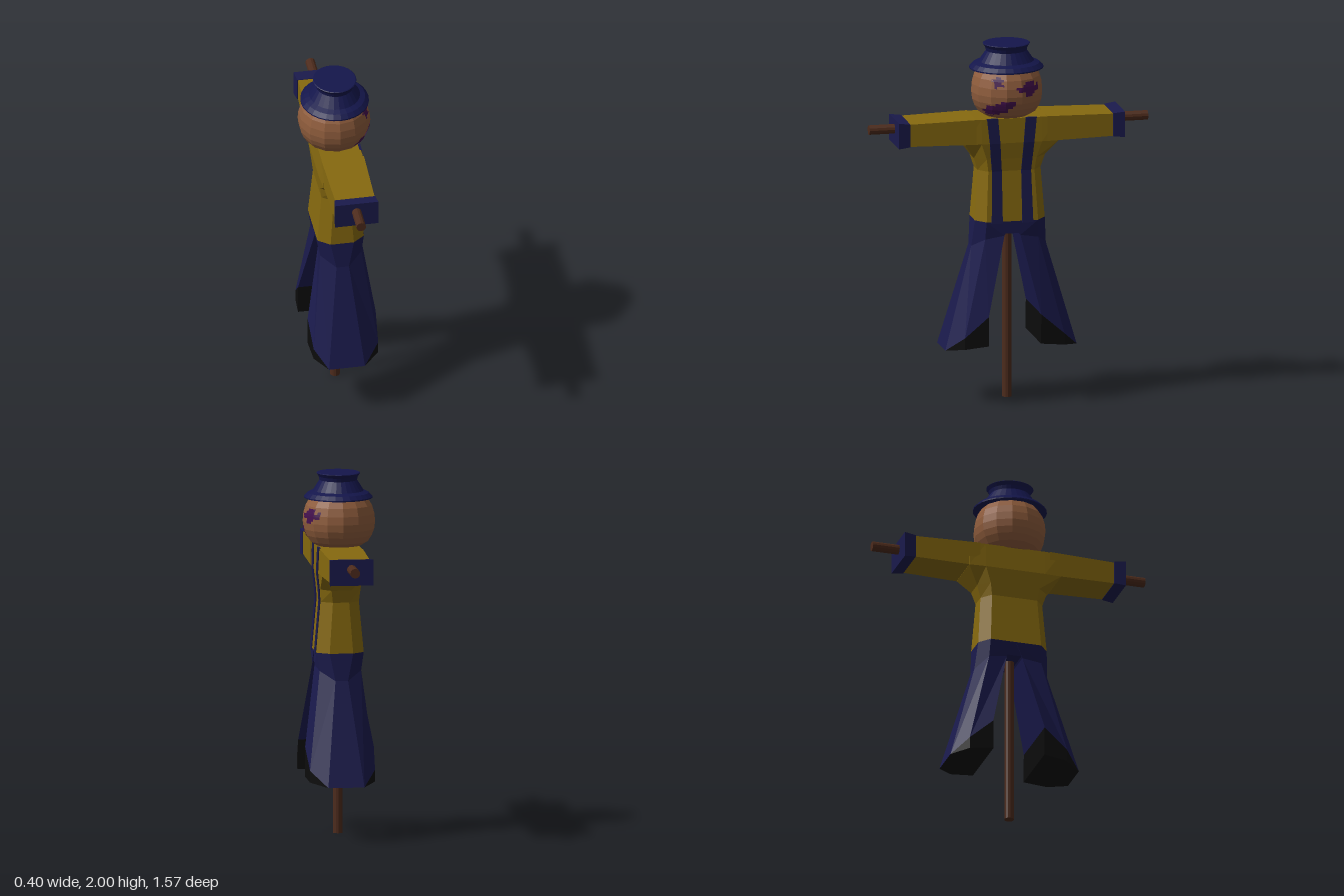
import * as THREE from 'three';

const paint = (color) => new THREE.MeshStandardMaterial({ color, flatShading: true });

// Closed faceted solid through a list of rings (each an equal-length list of [x, y, z])
function loft(rings) {
  const n = rings[0].length;
  const pos = [];
  const tri = (a, b, c) => pos.push(...a, ...b, ...c);
  const middle = (r) => [0, 1, 2].map((k) => r.reduce((s, p) => s + p[k], 0) / n);
  for (let i = 0; i < rings.length - 1; i++) {
    for (let j = 0; j < n; j++) {
      const k = (j + 1) % n;
      const [a, b, c, d] = [rings[i][j], rings[i][k], rings[i + 1][k], rings[i + 1][j]];
      tri(a, b, c);
      tri(a, c, d);
    }
  }
  const first = rings[0], last = rings[rings.length - 1];
  for (let j = 0; j < n; j++) {
    const k = (j + 1) % n;
    tri(first[k], first[j], middle(first));
    tri(last[j], last[k], middle(last));
  }
  // Turn the faces outwards when the enclosed volume comes out negative
  let volume = 0;
  const [a, b, c] = [new THREE.Vector3(), new THREE.Vector3(), new THREE.Vector3()];
  for (let i = 0; i < pos.length; i += 9) {
    volume += a.fromArray(pos, i).dot(b.fromArray(pos, i + 3).cross(c.fromArray(pos, i + 6)));
  }
  if (volume < 0) {
    for (let i = 0; i < pos.length; i += 9) {
      for (let k = 0; k < 3; k++) [pos[i + k], pos[i + 3 + k]] = [pos[i + 3 + k], pos[i + k]];
    }
  }
  const geo = new THREE.BufferGeometry();
  geo.setAttribute('position', new THREE.Float32BufferAttribute(pos, 3));
  geo.computeVertexNormals();
  return geo;
}

// Head outline [radius, height] and number of ribs
const HEAD = [[0, 1.59], [0.12, 1.595], [0.16, 1.62], [0.182, 1.655], [0.195, 1.69], [0.2, 1.73],
  [0.196, 1.775], [0.183, 1.82], [0.155, 1.865], [0, 1.89]];
const RIBS = 14;

// Front (+x) surface of the ribbed head at a given height and z
function headSurface(y, z) {
  const i = HEAD.findIndex((p) => p[1] > y);
  const [r0, y0] = HEAD[i - 1], [r1, y1] = HEAD[i];
  const flat = (r0 + (r1 - r0) * (y - y0) / (y1 - y0)) * Math.cos(Math.PI / RIBS);
  let x = 1;
  for (let k = 0; k < RIBS / 2; k++) {
    const t = (k + 0.5) * 2 * Math.PI / RIBS;
    x = Math.min(x, (flat - z * Math.cos(t)) / Math.sin(t));
  }
  return x + 0.003;
}

// Ragged patch of small squares laid on the head
function patch(rows, zStart, yStart, cell) {
  const pos = [];
  const at = (c, r) => {
    const y = yStart - r * cell, z = zStart - c * cell;
    return [headSurface(y, z), y, z];
  };
  rows.forEach((row, r) => [...row].forEach((mark, c) => {
    if (mark !== '#') return;
    pos.push(...at(c, r), ...at(c, r + 1), ...at(c + 1, r + 1));
    pos.push(...at(c, r), ...at(c + 1, r + 1), ...at(c + 1, r));
  }));
  const geo = new THREE.BufferGeometry();
  geo.setAttribute('position', new THREE.Float32BufferAttribute(pos, 3));
  geo.computeVertexNormals();
  return geo;
}

export function createModel() {
  const model = new THREE.Group();
  const wood = paint(0x4d2b1c), shirt = paint(0x86690f), navy = paint(0x1a1a4c);
  const hatBlue = paint(0x14164c), dark = paint(0x0c0c0c), skin = paint(0x8e5c3c);
  const purple = paint(0x430f4d);
  purple.side = THREE.DoubleSide;

  const body = new THREE.Group();
  body.name = 'body';
  body.position.z = 0.005;
  model.add(body);
  const add = (name, geo, mat, parent = body) => {
    const mesh = new THREE.Mesh(geo, mat);
    mesh.name = name;
    parent.add(mesh);
    return mesh;
  };

  // Wooden cross
  add('post', new THREE.CylinderGeometry(0.027, 0.027, 1.6, 12), wood).position.y = 0.8;
  const bar = add('crossbar', new THREE.CylinderGeometry(0.027, 0.027, 1.57, 12), wood, model);
  bar.rotation.x = Math.PI / 2;
  bar.position.set(0.005, 1.547, 0);

  // Shirt body: chamfered rings of height, back x, front x, chamfer z, side z, side back x, side front x
  const chest = [
    [1.02, -0.125, 0.135, 0.145, 0.197, -0.06, 0.07],
    [1.3, -0.1, 0.11, 0.13, 0.178, -0.04, 0.05],
    [1.37, -0.108, 0.115, 0.14, 0.2, -0.05, 0.06],
    [1.46, -0.118, 0.125, 0.17, 0.265, -0.112, 0.12],
    [1.598, -0.11, 0.12, 0.17, 0.265, -0.108, 0.118],
  ].map(([y, b, f, c, s, sb, sf]) => [
    [f, y, c], [f, y, -c], [sf, y, -s], [sb, y, -s], [b, y, -c], [b, y, c], [sb, y, s], [sf, y, s],
  ]);
  add('shirt', loft(chest), shirt);

  // Pelvis filling the gap between the legs
  add('pelvis', loft([
    [[-0.12, 1.02, 0.1], [0.13, 1.02, 0.1], [0.13, 1.02, -0.1], [-0.12, 1.02, -0.1]],
    [[-0.1, 0.95, 0.045], [0.13, 0.95, 0.045], [0.13, 0.95, -0.045], [-0.1, 0.95, -0.045]],
  ]), navy);

  // Four-cornered ring across an arm
  const armRing = (z, b, f, lo, hi) => [[b, lo, z], [f, lo, z], [f, hi, z], [b, hi, z]];
  // Six-cornered leg ring from [back x, front x, y, z] of its inner, middle and outer edge
  const legRing = (s, edges) => [
    ...edges.map(([b, , y, z]) => [b, y, z * s]),
    ...edges.map(([, f, y, z]) => [f, y, z * s]).reverse(),
  ];

  for (const s of [1, -1]) {
    const side = s > 0 ? 'Near' : 'Far';
    add('sleeve' + side, loft([
      armRing(0.2 * s, -0.112, 0.125, 1.46, 1.6),
      armRing(0.58 * s, -0.103, 0.117, 1.467, 1.592),
    ]), shirt);
    add('cuff' + side, loft([
      armRing(0.572 * s, -0.108, 0.12, 1.465, 1.595),
      armRing(0.637 * s, -0.115, 0.126, 1.458, 1.602),
    ]), navy);

    // Braces on the chest
    const strap = [[1.01, 0.137, 0.055, 0.117], [1.3, 0.112, 0.055, 0.11], [1.37, 0.117, 0.06, 0.117],
      [1.46, 0.127, 0.066, 0.125], [1.6, 0.122, 0.078, 0.14]];
    add('brace' + side, loft(strap.map(([y, x, z0, z1]) => [
      [x - 0.01, y, z0 * s], [x + 0.003, y, z0 * s], [x + 0.003, y, z1 * s], [x - 0.01, y, z1 * s],
    ])), navy);

    // Flared trouser leg with a slanted dark hem
    const hem = [[-0.18, 0.2, 0.5, 0.148], [-0.17, 0.19, 0.385, 0.28], [-0.1, 0.1, 0.3, 0.37]];
    add('leg' + side, loft([
      legRing(s, [[-0.125, 0.135, 1.02, 0], [-0.125, 0.135, 1.02, 0.145], [-0.06, 0.07, 1.02, 0.197]]),
      legRing(s, [[-0.1, 0.135, 0.94, 0.045], [-0.11, 0.12, 0.92, 0.15], [-0.03, 0.04, 0.87, 0.21]]),
      legRing(s, hem),
    ]), navy);
    add('hem' + side, loft([
      legRing(s, hem),
      legRing(s, [[-0.18, 0.2, 0.335, 0.146], [-0.17, 0.19, 0.32, 0.28], [-0.1, 0.1, 0.3, 0.37]]),
    ]), dark);
  }

  // Ribbed head with a ragged face
  const head = new THREE.Group();
  head.name = 'head';
  head.position.x = -0.006;
  body.add(head);
  const outline = HEAD.map(([r, y]) => new THREE.Vector2(r, y));
  add('headShell', new THREE.LatheGeometry(outline, RIBS), skin, head);
  add('smallEye', patch(['..##.', '#####', '.###.', '.####', '.#...'], 0.118, 1.84, 0.0125), purple, head);
  add('largeEye', patch(['....####..', '...#####.#', '##########', '.#########', '....####..', '....###...'],
    -0.012, 1.81, 0.0135), purple, head);
  add('mouth', patch(['......######', '....########', '.##########.', '.########...', '#########...',
    '.#####......', '.###........'], 0.155, 1.707, 0.0135), purple, head);

  // Hat, slightly longer along z
  const brim = [[0, 1.86], [0.188, 1.86], [0.188, 1.867], [0.168, 1.888], [0.14, 1.9], [0.103, 1.958],
    [0.108, 1.978], [0.12, 1.997], [0.116, 2], [0, 2]].map(([r, y]) => new THREE.Vector2(r, y));
  const hat = add('hat', new THREE.LatheGeometry(brim, 28), hatBlue);
  hat.scale.z = 1.09;
  hat.position.set(-0.003, 0, 0.003);

  return model;
}
